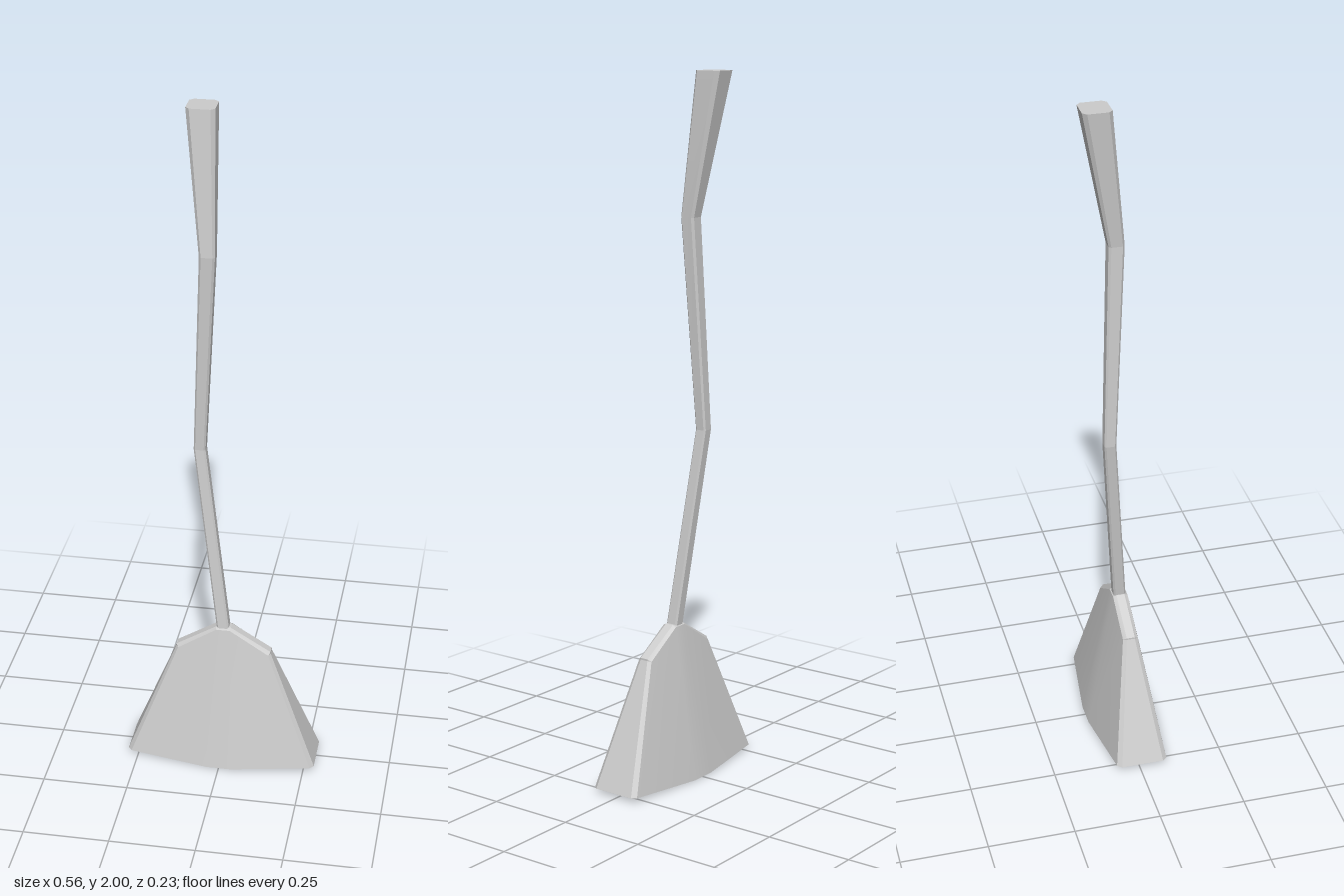
import * as THREE from 'three';
import { toCreasedNormals } from 'three/addons/utils/BufferGeometryUtils.js';

// Skins a stack of rings; each ring lists front points from -x to +x, then back points from +x to -x
function loft(rings, crease) {
  const n = rings[0].length;
  const pos = [];
  const tri = (a, b, c) => {
    const area = new THREE.Vector3().crossVectors(b.clone().sub(a), c.clone().sub(a)).length();
    if (area > 1e-9) for (const p of [a, b, c]) pos.push(p.x, p.y, p.z);
  };
  const quad = (a, b, c, d) => { tri(a, b, c); tri(a, c, d); };
  for (let k = 0; k < rings.length - 1; k++) {
    for (let i = 0; i < n; i++) {
      const j = (i + 1) % n;
      quad(rings[k][i], rings[k][j], rings[k + 1][j], rings[k + 1][i]);
    }
  }
  // End caps, as strips joining front to back
  const lo = rings[0], hi = rings[rings.length - 1];
  for (let i = 0; i < n / 2 - 1; i++) {
    quad(hi[i], hi[i + 1], hi[n - 2 - i], hi[n - 1 - i]);
    quad(lo[n - 1 - i], lo[n - 2 - i], lo[i + 1], lo[i]);
  }
  const geo = new THREE.BufferGeometry();
  geo.setAttribute('position', new THREE.Float32BufferAttribute(pos, 3));
  return toCreasedNormals(geo, crease);
}

// Mirrors [x, y, half depth] points in x and z about the head's middle plane
function headRing(half) {
  const midZ = 0.008;
  const right = half.map(([x, y, d]) => new THREE.Vector3(x, y, midZ + d));
  const left = right.map((p) => new THREE.Vector3(-p.x, p.y, p.z)).reverse();
  const front = [...left, ...right];
  const back = front.map((p) => new THREE.Vector3(p.x, p.y, 2 * midZ - p.z)).reverse();
  return [...front, ...back];
}

// Square section with cut corners
function handleRing([x, y, z, r]) {
  const c = r * 0.72;
  return [[-r, c], [-c, r], [c, r], [r, c], [r, -c], [c, -r], [-c, -r], [-r, -c]]
    .map(([dx, dz]) => new THREE.Vector3(x + dx, y, z + dz));
}

export function createModel() {
  const group = new THREE.Group();
  const material = new THREE.MeshStandardMaterial({ color: 0xcccccc });

  // Flared bristle head: base, shoulder edge, bevelled ridge
  const head = new THREE.Mesh(loft([
    headRing([[0.037, 0, 0.104], [0.27, 0.012, 0.075], [0.281, 0.012, 0.062]]),
    headRing([[0.02, 0.437, 0.022], [0.134, 0.363, 0.022], [0.14, 0.365, 0.012]]),
    headRing([[0.022, 0.442, 0.012], [0.14, 0.37, 0.012], [0.14, 0.37, 0.012]]),
  ], 0.35), material);
  head.name = 'bristleHead';

  // Crooked handle: centre x, y, z and half width of each section
  const handle = new THREE.Mesh(loft([
    [0, 0.425, 0.008, 0.018],
    [-0.076, 1.0, -0.039, 0.017],
    [-0.048, 1.6, -0.015, 0.022],
    [-0.072, 2.0, -0.075, 0.04],
  ].map(handleRing), 0.1), material);
  handle.name = 'handle';

  group.add(head, handle);
  return group;
}
